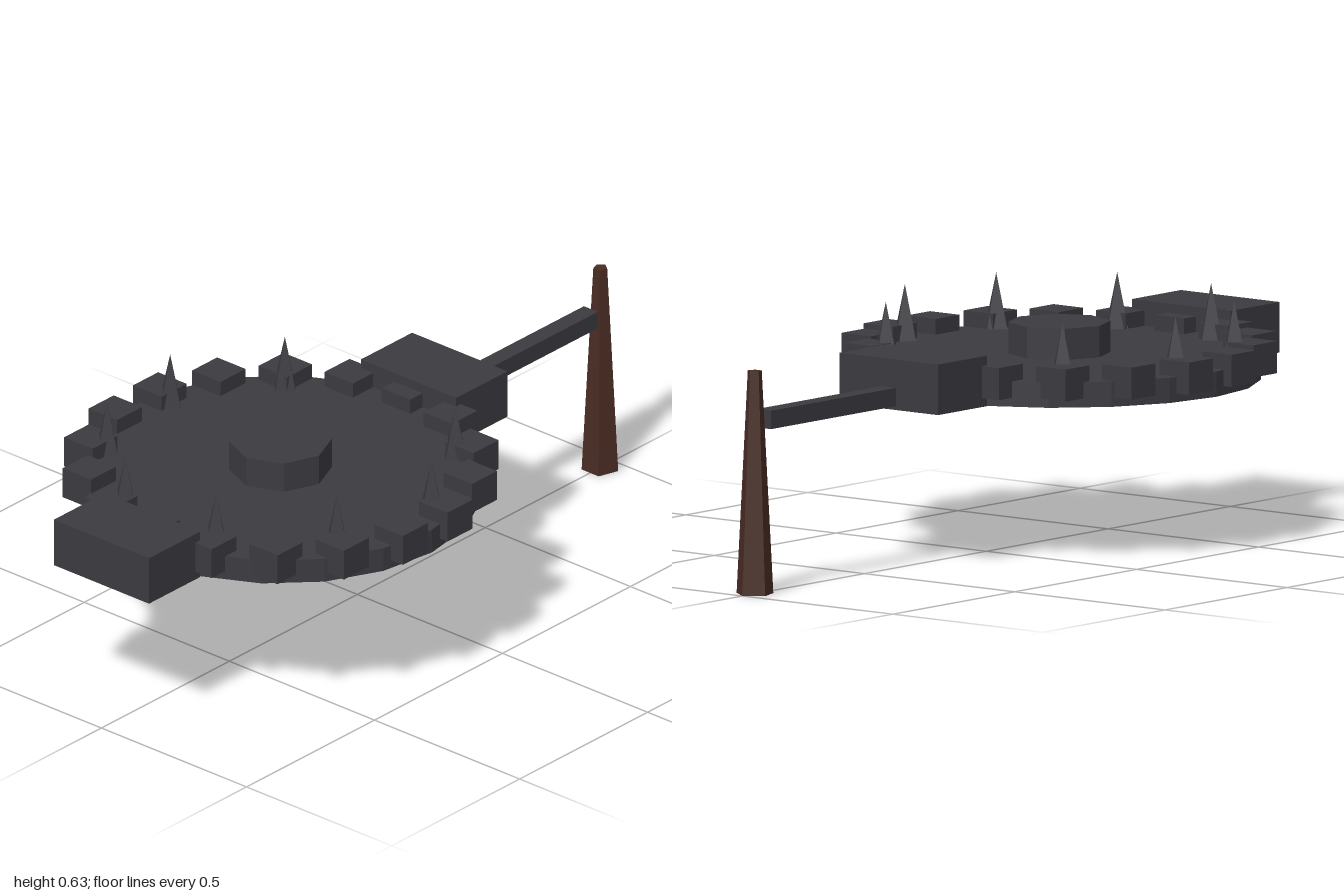
import * as THREE from 'three';

export function createModel() {
  const group = new THREE.Group();
  const iron = new THREE.MeshStandardMaterial({ color: 0x3a3a40 });
  iron.name = 'dark iron';
  const wood = new THREE.MeshStandardMaterial({ color: 0x482c23 });
  wood.name = 'brown wood';

  const add = (name, geometry, material, x, y, z) => {
    // split vertices so every facet is flat
    const geo = geometry.index ? geometry.toNonIndexed() : geometry;
    geo.computeVertexNormals();
    const mesh = new THREE.Mesh(geo, material);
    mesh.name = name;
    mesh.position.set(x, y, z);
    group.add(mesh);
    return mesh;
  };

  const cx = -0.3; // centre of the round plate
  const onRing = (radius, degrees) => {
    const a = THREE.MathUtils.degToRad(degrees);
    return [cx + radius * Math.cos(a), radius * Math.sin(a)];
  };

  // Round base plate and raised pressure pad
  add('basePlate', new THREE.CylinderGeometry(0.522, 0.522, 0.066, 20), iron, cx, 0.451, 0);
  add('pressurePad', new THREE.CylinderGeometry(0.133, 0.133, 0.085, 8), iron, cx, 0.5235, 0);

  // Square teeth around the rim, all aligned with the axes
  for (let i = 0; i < 18; i++) {
    const [x, z] = onRing(0.5, i * 20);
    add('rimTooth', new THREE.BoxGeometry(0.098, 0.084, 0.098), iron, x, 0.483, z);
  }

  // Spikes on every second tooth, except beside the chain bar
  for (let i = 1; i < 9; i++) {
    const [x, z] = onRing(0.457, i * 40);
    add('spike', new THREE.ConeGeometry(0.041, 0.16, 4), iron, x, 0.55, z);
  }

  // Spring blocks at both ends
  for (const side of [-1, 1]) {
    add('springBlock', new THREE.BoxGeometry(0.2, 0.132, 0.328), iron, cx + side * 0.6, 0.484, 0);
  }

  // Bar leading to the anchor stake
  add('anchorBar', new THREE.BoxGeometry(0.515, 0.048, 0.048), iron, 0.655, 0.452, 0);

  // Tapered five-sided stake with a corner pointing outward
  const stake = add('anchorStake', new THREE.CylinderGeometry(0.019, 0.05, 0.583, 5), wood, 0.95, 0.2915, 0);
  stake.rotation.y = Math.PI / 2;

  return group;
}
